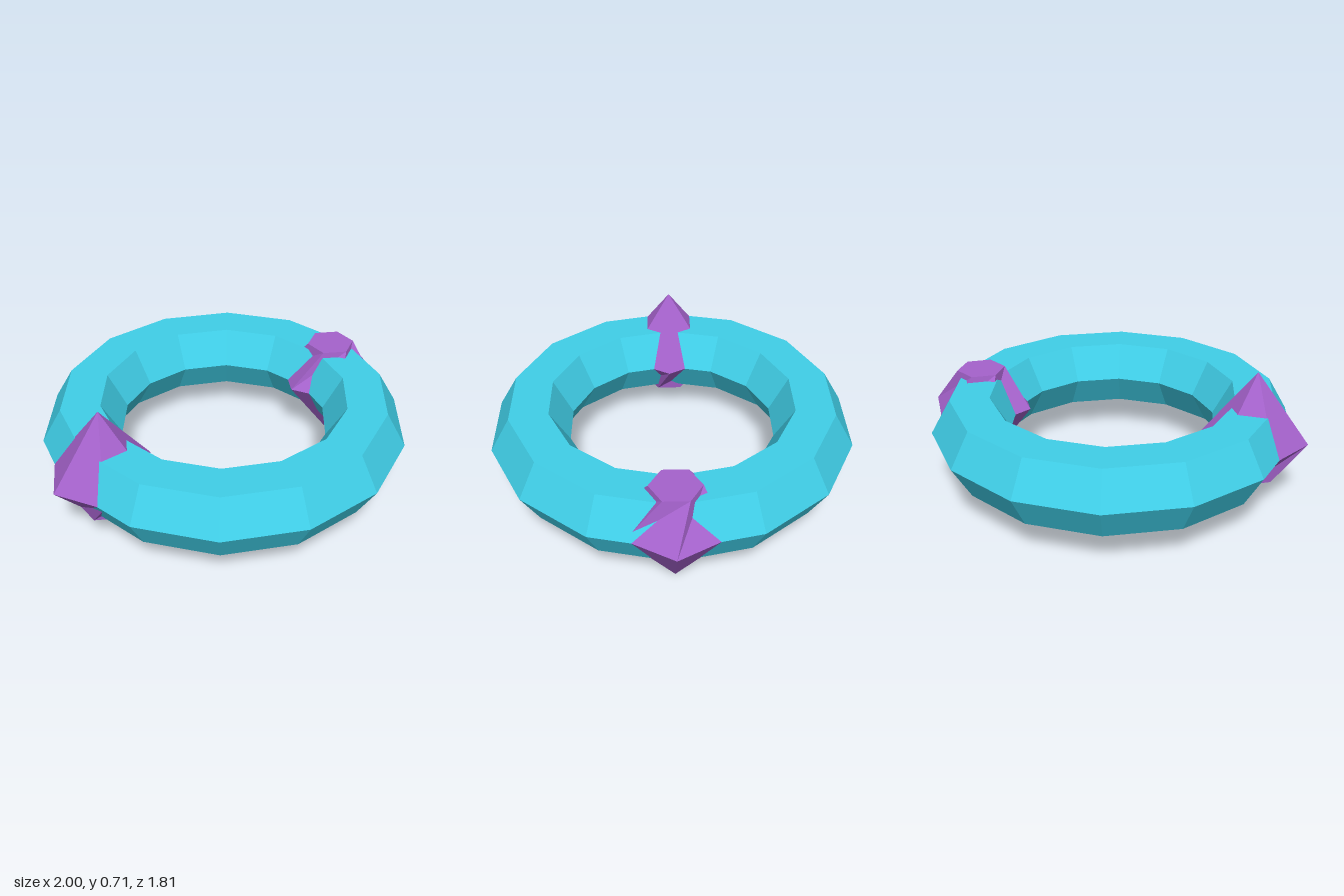
import * as THREE from 'three';

const MID = 0.357; // height of the ring's centre plane
const RADIUS = 0.73; // centre line of the ring

// Six-sided gem: a spike below, a twisted neck above that ends in a flat hexagon.
function gemGeometry() {
  const pos = [];
  const ring = (r, y, turn) => Array.from({ length: 6 }, (_, i) => {
    const a = i * Math.PI / 3 + turn;
    return [r * Math.cos(a), y, r * Math.sin(a)];
  });
  const girdle = ring(0.27, 0, 0);
  const cap = ring(0.125, 0.203, -Math.PI / 6);
  const tip = [0, -MID, 0];
  const capCentre = [0, 0.203, 0];
  const tri = (...corners) => corners.forEach((c) => pos.push(...c));

  for (let i = 0; i < 6; i++) {
    const j = (i + 1) % 6;
    tri(girdle[i], girdle[j], tip);
    tri(girdle[j], girdle[i], cap[i]);
    tri(girdle[j], cap[i], cap[j]);
    tri(capCentre, cap[j], cap[i]);
  }
  const geo = new THREE.BufferGeometry();
  geo.setAttribute('position', new THREE.Float32BufferAttribute(pos, 3));
  geo.computeVertexNormals();
  return geo;
}

export function createModel() {
  const group = new THREE.Group();
  const teal = new THREE.MeshStandardMaterial({ color: 0x40cfe8, flatShading: true });
  const purple = new THREE.MeshStandardMaterial({ color: 0xa562cc, flatShading: true });

  // Hexagonal-section ring lying flat
  const ring = new THREE.Mesh(new THREE.TorusGeometry(RADIUS, 0.2, 6, 14), teal);
  ring.name = 'ring';
  ring.rotation.x = Math.PI / 2;
  ring.position.y = MID;
  group.add(ring);

  // Gems set through the ring: left spike points down, right spike points up
  const gem = gemGeometry();
  for (const side of [1, -1]) {
    const mesh = new THREE.Mesh(gem, purple);
    mesh.name = side > 0 ? 'leftGem' : 'rightGem';
    mesh.position.set(side * RADIUS, MID, 0);
    if (side < 0) mesh.rotation.z = Math.PI;
    group.add(mesh);
  }
  return group;
}
